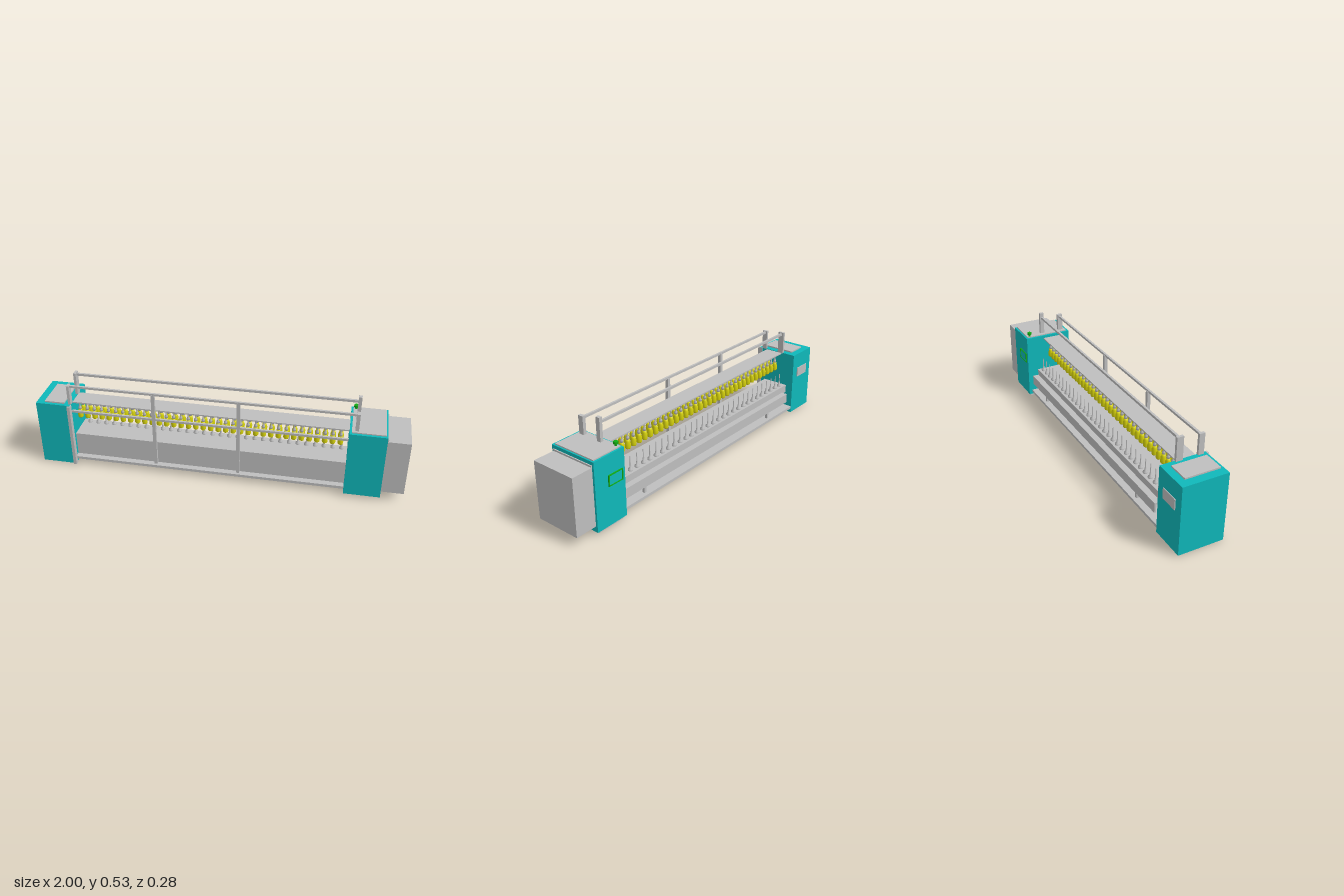
import * as THREE from 'three';

const mat = (name, color) => {
  const m = new THREE.MeshStandardMaterial({ color });
  m.name = name;
  return m;
};

export function createModel() {
  const grey = mat('light grey metal', 0xbebebe);
  const teal = mat('teal paint', 0x0fb8ba);
  const yellow = mat('yellow yarn', 0xd6d20c);
  const green = mat('green plastic', 0x10ac14);
  const model = new THREE.Group();

  const add = (name, geometry, material, parent = model) => {
    const mesh = new THREE.Mesh(geometry, material);
    mesh.name = name;
    parent.add(mesh);
    return mesh;
  };
  // Box given by its limits on each axis
  const block = (name, material, [x0, x1], [y0, y1], [z0, z1], parent = model) => {
    const mesh = add(name, new THREE.BoxGeometry(x1 - x0, y1 - y0, z1 - z0), material, parent);
    mesh.position.set((x0 + x1) / 2, (y0 + y1) / 2, (z0 + z1) / 2);
    return mesh;
  };
  const group = (name) => {
    const g = new THREE.Group();
    g.name = name;
    model.add(g);
    return g;
  };

  // Cabinet at the right-hand end of the machine (-x)
  const tail = group('tailCabinet');
  block('tailBody', teal, [-1, -0.81], [0.005, 0.382], [-0.12, 0.127], tail);
  block('tailTopPanel', grey, [-0.955, -0.845], [0.382, 0.39], [-0.08, 0.11], tail);
  block('tailBackPanel', grey, [-0.955, -0.855], [0.233, 0.29], [-0.125, -0.12], tail);
  block('tailCornerTrim', grey, [-0.822, -0.805], [0.005, 0.38], [0.11, 0.138], tail);

  // Drive cabinet at the other end (+x), with its foot and motor housing
  const head = group('headCabinet');
  block('headBody', teal, [0.686, 0.88], [0.018, 0.394], [-0.138, 0.138], head);
  block('headTopPlate', grey, [0.697, 0.872], [0.394, 0.4], [-0.128, 0.124], head);
  block('headFoot', grey, [0.7, 0.857], [0, 0.018], [-0.124, 0.107], head);
  block('motorHousing', grey, [0.88, 1], [0.05, 0.364], [-0.127, 0.127], head);
  block('motorTrim', grey, [0.88, 0.886], [0.367, 0.376], [-0.128, 0.128], head);

  // Control screen on the back, framed in green
  const screen = group('controlScreen');
  block('screenPanel', teal, [0.709, 0.791], [0.235, 0.285], [-0.141, -0.138], screen);
  for (const y of [0.23, 0.285]) block('screenFrame', green, [0.703, 0.797], [y, y + 0.005], [-0.144, -0.138], screen);
  for (const x of [0.703, 0.791]) block('screenFrame', green, [x, x + 0.006], [0.23, 0.29], [-0.144, -0.138], screen);

  // Push button on the drive cabinet
  const button = group('pushButton');
  button.position.set(0.71, 0.4, -0.111);
  add('buttonStem', new THREE.CylinderGeometry(0.006, 0.006, 0.012, 16), green, button).position.y = 0.006;
  add('buttonCap', new THREE.CylinderGeometry(0.012, 0.012, 0.012, 20), green, button).position.y = 0.017;

  // Bed: base plate, front panel, spindle shelf and rear rail
  const bed = group('bed');
  const span = [-0.81, 0.686];
  block('basePlate', grey, span, [0.03, 0.045], [-0.12, 0.115], bed);
  block('frontPanel', grey, span, [0.045, 0.165], [0.066, 0.082], bed);
  block('spindleShelf', grey, span, [0.165, 0.178], [-0.075, 0.082], bed);
  block('shelfRiser', grey, span, [0.13, 0.165], [-0.075, -0.065], bed);
  block('rearLedge', grey, [-0.77, 0.686], [0.13, 0.14], [-0.1, -0.065], bed);
  block('rearRail', grey, [-0.77, 0.686], [0.085, 0.14], [-0.11, -0.1], bed);
  for (const x of [-0.58, 0.51]) block('rearSupport', grey, [x - 0.007, x + 0.007], [0.045, 0.13], [-0.1, -0.085], bed);

  // Top board that carries the bobbins
  block('bobbinBoard', grey, span, [0.372, 0.379], [-0.03, 0.075]);

  // Frame posts and rails
  const frame = group('frame');
  for (const x of [-0.35, 0.11]) block('frontPost', grey, [x - 0.009, x + 0.009], [0.03, 0.485], [0.082, 0.1], frame);
  block('frontRail', grey, [-0.82, 0.725], [0.48, 0.492], [0.086, 0.098], frame);
  block('middleRail', grey, span, [0.325, 0.337], [0.086, 0.098], frame);
  block('backRail', grey, [-0.82, 0.725], [0.492, 0.505], [-0.029, -0.017], frame);
  block('frontEndPost', grey, [0.714, 0.732], [0.4, 0.498], [0.08, 0.11], frame);
  block('backEndPost', grey, [0.716, 0.734], [0.4, 0.527], [-0.035, -0.011], frame);
  block('frontEndPost', grey, [-0.822, -0.808], [0.38, 0.495], [0.08, 0.11], frame);
  block('backEndPost', grey, [-0.822, -0.808], [0.38, 0.51], [-0.04, -0.004], frame);

  const lathe = (points, sides) =>
    new THREE.LatheGeometry(points.map(([r, y]) => new THREE.Vector2(r, y)), sides);

  // Two rows of bobbins on hangers below the board
  const bobbins = group('bobbins');
  const bobbinShape = lathe([[0, 0.27], [0.012, 0.27], [0.015, 0.275], [0.015, 0.302],
    [0.011, 0.309], [0.011, 0.321], [0, 0.321]], 12);
  const hangerShape = lathe([[0, 0.321], [0.009, 0.321], [0.009, 0.333], [0.004, 0.339],
    [0.004, 0.358], [0.01, 0.361], [0.01, 0.372]], 10);
  for (let i = 0; i < 36; i++) {
    for (const z of [-0.002, 0.045]) {
      const x = -0.783 + i * 0.0408;
      add('bobbin', bobbinShape, yellow, bobbins).position.set(x, 0, z);
      add('hanger', hangerShape, grey, bobbins).position.set(x, 0, z);
    }
  }

  // Row of spindles standing on the shelf
  const spindles = group('spindles');
  const spindleShape = lathe([[0.013, 0.178], [0.013, 0.187], [0.006, 0.193], [0.005, 0.205],
    [0.0028, 0.21], [0.0022, 0.258], [0, 0.26]], 10);
  for (let i = 0; i < 31; i++) {
    add('spindle', spindleShape, grey, spindles).position.set(-0.77 + i * 0.0475, 0, -0.05);
  }
  return model;
}
